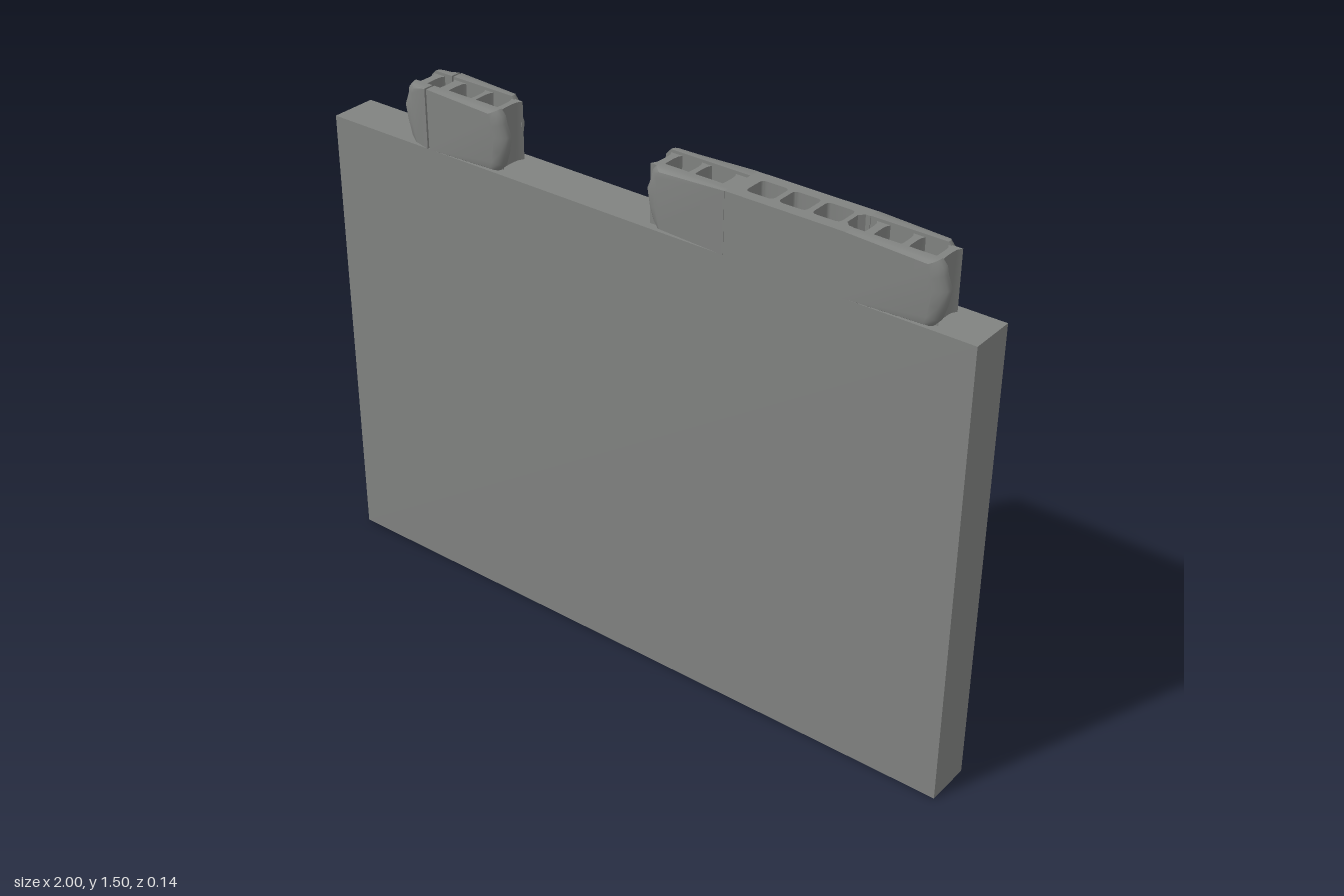
import * as THREE from 'three';
import { toCreasedNormals } from 'three/addons/utils/BufferGeometryUtils.js';

const WALL_H = 1.333, TOP = 1.503, BLOCK_H = TOP - WALL_H, HALF = 0.067;
const INNER = 0.037, SHELL = 0.031;

// broken end outline, bottom to top: distance back from the tip, height
const BREAK = [[0.035, 0], [0.02, 0.018], [0.008, 0.055], [0, 0.1], [0.014, 0.135], [0.018, 0.155], [0.032, BLOCK_H]];

export function createModel() {
  const root = new THREE.Group();
  root.name = 'brokenWall';
  const concrete = new THREE.MeshStandardMaterial({ color: 0x808280 });
  concrete.name = 'grey concrete';

  function add(geometry, name, parent = root) {
    const mesh = new THREE.Mesh(geometry, concrete);
    mesh.name = name;
    parent.add(mesh);
    return mesh;
  }

  // one side shell of a broken block, square at flatX and worn at tipX
  function shell(parent, flatX, tipX, front) {
    const dir = Math.sign(tipX - flatX);
    const shape = new THREE.Shape();
    shape.moveTo(flatX, 0);
    BREAK.forEach(([back, y]) => shape.lineTo(tipX - dir * back, y));
    shape.lineTo(flatX, BLOCK_H);
    const geo = new THREE.ExtrudeGeometry(shape, { depth: SHELL, steps: 4, bevelEnabled: false });
    const pos = geo.attributes.position;
    for (let i = 0; i < pos.count; i++) {
      const t = front ? pos.getZ(i) / SHELL : 1 - pos.getZ(i) / SHELL;
      const near = Math.max(0, 1 - Math.abs(pos.getX(i) - tipX) / 0.07);
      const wear = near * t * t * t;
      pos.setX(i, pos.getX(i) - dir * 0.035 * wear);
      pos.setY(i, pos.getY(i) - (pos.getY(i) - BLOCK_H / 2) * 0.2 * wear);
    }
    geo.translate(0, WALL_H, front ? INNER : -INNER - SHELL);
    add(toCreasedNormals(geo, 0.7), front ? 'frontShell' : 'backShell', parent);
  }

  // broken block: two shells joined by cross webs
  function brokenBlock(name, flatX, frontTip, backTip, webs) {
    const block = new THREE.Group();
    block.name = name;
    root.add(block);
    shell(block, flatX, frontTip, true);
    shell(block, flatX, backTip, false);
    for (const [a, b] of webs) {
      const geo = new THREE.BoxGeometry(b - a, BLOCK_H - 0.008, INNER * 2 + 0.01, 1, 1, 6);
      const pos = geo.attributes.position;
      // webs flare slightly where they meet the shells
      for (let i = 0; i < pos.count; i++) {
        const k = Math.abs(pos.getZ(i)) / INNER;
        pos.setX(i, pos.getX(i) + Math.sign(pos.getX(i)) * 0.006 * k ** 4);
      }
      geo.computeVertexNormals();
      geo.translate((a + b) / 2, WALL_H + (BLOCK_H - 0.008) / 2, 0);
      add(geo, 'web', block);
    }
  }

  // rounded rectangular core opening
  function core(a, b) {
    const h = 0.035, r = 0.014, p = new THREE.Path();
    p.moveTo(a + r, -h);
    p.lineTo(b - r, -h);
    p.quadraticCurveTo(b, -h, b, -h + r);
    p.lineTo(b, h - r);
    p.quadraticCurveTo(b, h, b - r, h);
    p.lineTo(a + r, h);
    p.quadraticCurveTo(a, h, a, h - r);
    p.lineTo(a, -h + r);
    p.quadraticCurveTo(a, -h, a + r, -h);
    return p;
  }

  // main wall
  const wall = add(new THREE.BoxGeometry(2, WALL_H, HALF * 2), 'wall');
  wall.position.y = WALL_H / 2;

  // intact hollow block, with a half core open at its right end
  const plan = new THREE.Shape([
    [0.3, -HALF], [0.64, -HALF], [0.64, -0.035], [0.628, -0.035], [0.615, -0.022],
    [0.615, 0.022], [0.628, 0.035], [0.64, 0.035], [0.64, HALF], [0.3, HALF],
  ].map(([x, y]) => new THREE.Vector2(x, y)));
  plan.holes.push(core(0.337, 0.415), core(0.43, 0.508), core(0.524, 0.602));
  const hollow = new THREE.ExtrudeGeometry(plan, { depth: BLOCK_H, bevelEnabled: false, curveSegments: 4 });
  hollow.rotateX(-Math.PI / 2).translate(0, WALL_H, 0);
  add(toCreasedNormals(hollow, 0.7), 'hollowBlock');

  // worn blocks along the top
  brokenBlock('leftFragment', -0.66, -0.75, -0.75, [[-0.715, -0.692]]);
  brokenBlock('leftBlock', -0.654, -0.39, -0.42, [[-0.645, -0.617], [-0.537, -0.523], [-0.447, -0.43]]);
  brokenBlock('middleBlock', 0.3, 0.055, 0.03, [[0.07, 0.09], [0.164, 0.18], [0.265, 0.298]]);
  brokenBlock('rightBlock', 0.64, 0.91, 0.88, [[0.665, 0.687], [0.763, 0.781], [0.855, 0.873]]);

  return root;
}
